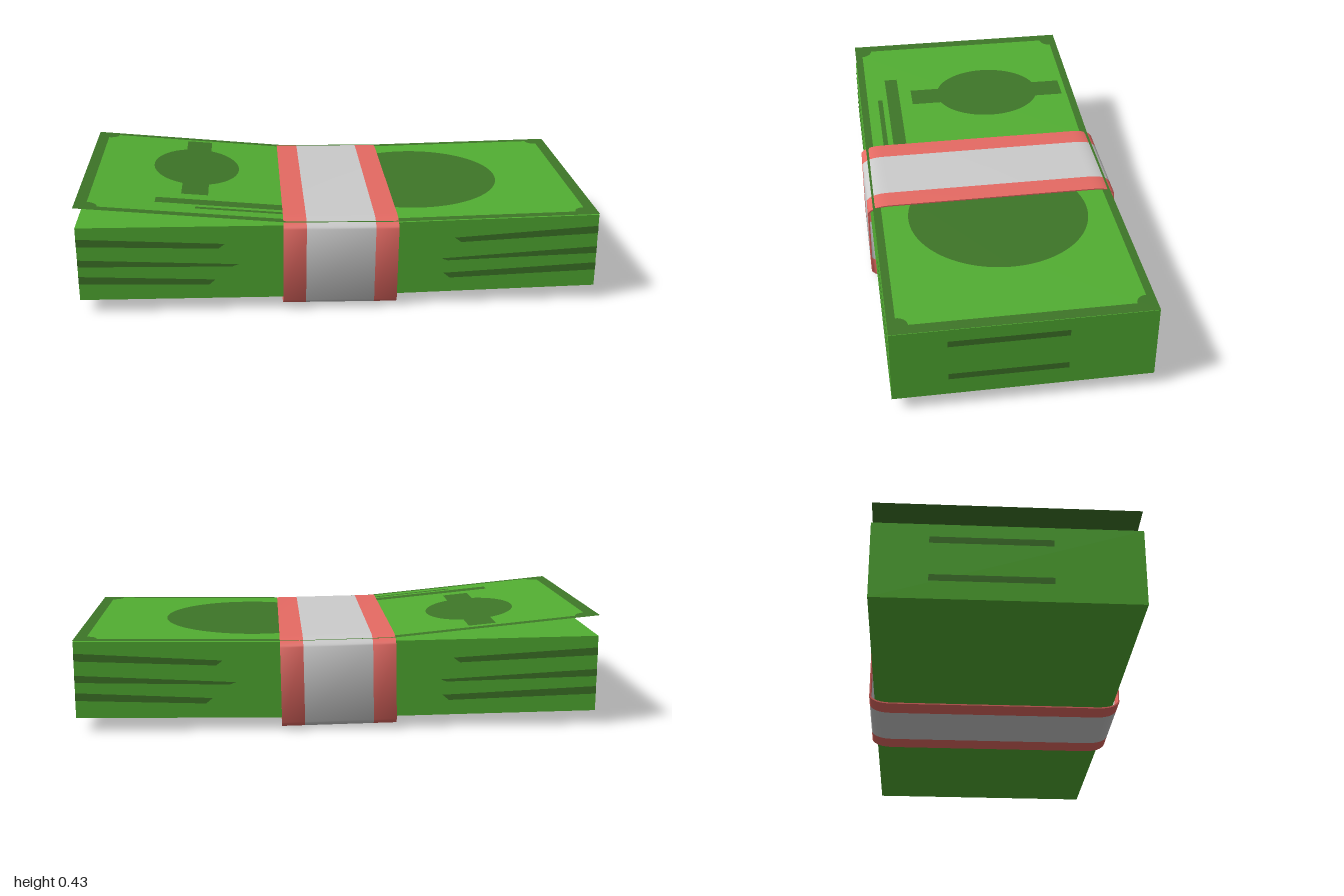
import * as THREE from 'three';
import { toCreasedNormals } from 'three/addons/utils/BufferGeometryUtils.js';

const material = (color, side = THREE.FrontSide) =>
  new THREE.MeshStandardMaterial({ color, side });

const GREEN = material(0x52ae32);
const DARK = material(0x3e7628);
const GREEN_SHEET = material(0x52ae32, THREE.DoubleSide);
const DARK_SHEET = material(0x3e7628, THREE.DoubleSide);
const RED = material(0xe66a63);
const GREY = material(0xcccccc);

const HALF_Z = 0.478;
const GRIP = 0.2; // half width of the part pressed flat by the band

function add(parent, name, geometry, mat) {
  const mesh = new THREE.Mesh(geometry, mat);
  mesh.name = name;
  parent.add(mesh);
  return mesh;
}

const polygon = (points) => new THREE.Shape(points.map(([x, y]) => new THREE.Vector2(x, y)));
const rect = (x0, x1, y0, y1) => polygon([[x0, y0], [x1, y0], [x1, y1], [x0, y1]]);

// Height of the top bill: its -x half curls up off the stack
function billHeight(x) {
  if (x < -GRIP) return 0.35 + (-GRIP - x) * 0.099;
  if (x < GRIP) return 0.346 - x * 0.02;
  return 0.342 + (x - GRIP) * 0.0125;
}

// Flat shape (x, -z) laid on the bill, raised by a number of thin layers
function onBill(shape, layer) {
  const geometry = new THREE.ShapeGeometry(shape, 32).rotateX(-Math.PI / 2);
  const p = geometry.attributes.position;
  for (let i = 0; i < p.count; i++) p.setY(i, billHeight(p.getX(i)) + layer * 0.0015);
  geometry.computeVertexNormals();
  return geometry;
}

// Inner panel of one bill half, with scooped outer corners
function panelShape(side) {
  const edge = 0.955, z = 0.447, r = 0.042;
  const points = [[side * GRIP, -z]];
  for (const end of [-1, 1]) {
    for (let i = 0; i <= 6; i++) {
      const a = (i / 6) * Math.PI / 2;
      const [s, c] = end < 0 ? [Math.sin(a), Math.cos(a)] : [Math.cos(a), Math.sin(a)];
      points.push([side * (edge - r * c), end * (z - r * s)]);
    }
  }
  points.push([side * GRIP, z]);
  return polygon(points);
}

function createStack() {
  const group = new THREE.Group();
  group.name = 'billStack';

  // Block of bills, slightly pinched at the middle
  const profile = polygon([
    [-0.998, 0.055], [-GRIP, 0.044], [GRIP, 0.044], [0.998, 0.055],
    [0.998, 0.35], [GRIP, 0.34], [-GRIP, 0.34], [-0.998, 0.35],
  ]);
  const block = new THREE.ExtrudeGeometry(profile, { depth: 2 * HALF_Z, bevelEnabled: false });
  add(group, 'stackBlock', block.translate(0, 0, -HALF_Z), GREEN);

  // Tapering paper lines: outer bottom, outer top, tip bottom, tip top, tip x left, tip x right
  const lines = [
    [0.275, 0.305, 0.253, 0.272, 0.44, 0.44],
    [0.192, 0.22, 0.178, 0.187, 0.39, 0.39],
    [0.122, 0.152, 0.105, 0.126, 0.48, 0.4],
  ];
  for (const turn of [0, Math.PI]) {
    const face = new THREE.Group();
    face.name = turn ? 'backPaperLines' : 'frontPaperLines';
    face.rotation.y = turn;
    for (const [b0, t0, b1, t1, left, right] of lines) {
      for (const [side, tip] of [[-1, left], [1, right]]) {
        const shape = polygon([
          [side * 0.998, b0], [side * (tip + 0.025), b1], [side * tip, t1], [side * 0.998, t0],
        ]);
        add(face, 'paperLine', new THREE.ShapeGeometry(shape), DARK).position.z = HALF_Z + 0.002;
      }
    }
    group.add(face);
  }

  // Two straight lines on each short end
  for (const side of [-1, 1]) {
    for (const y of [0.137, 0.287]) {
      const line = add(group, 'endPaperLine', new THREE.PlaneGeometry(0.435, 0.025), DARK);
      line.position.set(side * 0.9995, y, side * 0.057);
      line.rotation.y = side * Math.PI / 2;
    }
  }
  return group;
}

function createTopBill() {
  const group = new THREE.Group();
  group.name = 'topBill';

  // Sheet in three planar sections
  for (const [x0, x1] of [[-1, -GRIP], [-GRIP, GRIP], [GRIP, 1]])
    add(group, 'billSheet', onBill(rect(x0, x1, -HALF_Z, HALF_Z), 1), DARK_SHEET);
  for (const side of [-1, 1])
    add(group, 'billPanel', onBill(panelShape(side), 2), GREEN_SHEET);

  // Portrait disc, cut off where it passes under the band
  const disc = new THREE.Shape();
  const cut = Math.acos((GRIP - 0.33) / 0.352);
  disc.absarc(0.33, 0.005, 0.352, -cut, cut, false);
  add(group, 'portraitDisc', onBill(disc, 3), DARK_SHEET);

  // Plain oval ornament with a tab above and below
  const ornament = new THREE.Shape();
  ornament.absellipse(-0.56, 0.09, 0.175, 0.225, 0, Math.PI * 2);
  add(group, 'ornamentOval', onBill(ornament, 3), DARK_SHEET);
  add(group, 'ornamentTab', onBill(rect(-0.61, -0.505, 0.3, 0.425), 3), DARK_SHEET);
  add(group, 'ornamentTab', onBill(rect(-0.61, -0.505, -0.25, -0.12), 3), DARK_SHEET);

  // Printed bars
  add(group, 'wideBar', onBill(rect(-0.705, -GRIP, -0.36, -0.305), 3), DARK_SHEET);
  add(group, 'narrowBar', onBill(rect(-0.55, -GRIP, -0.402, -0.382), 3), DARK_SHEET);
  return group;
}

// Closed loop with soft corners, centred on the origin
function loop(path, w, h, rx, ry) {
  path.moveTo(-w + rx, -h);
  path.lineTo(w - rx, -h);
  path.quadraticCurveTo(w - rx * 0.2, -h, w, -h + ry);
  path.lineTo(w, h - ry);
  path.quadraticCurveTo(w - rx * 0.2, h, w - rx, h);
  path.lineTo(-w + rx, h);
  path.quadraticCurveTo(-w + rx * 0.2, h, -w, h - ry);
  path.lineTo(-w, -h + ry);
  path.quadraticCurveTo(-w + rx * 0.2, -h, -w + rx, -h);
  return path;
}

function createBand() {
  const group = new THREE.Group();
  group.name = 'paperBand';
  const ring = loop(new THREE.Shape(), 0.498, 0.176, 0.09, 0.03);
  ring.holes.push(loop(new THREE.Path(), 0.493, 0.171, 0.087, 0.028));
  for (const [name, x0, x1, mat] of [
    ['bandEdge', -0.22, -0.132, RED],
    ['bandCentre', -0.132, 0.132, GREY],
    ['bandEdge', 0.132, 0.22, RED],
  ]) {
    const geometry = new THREE.ExtrudeGeometry(ring, { depth: x1 - x0, bevelEnabled: false, curveSegments: 8 });
    geometry.rotateY(Math.PI / 2).translate(x0, 0, 0);
    add(group, name, toCreasedNormals(geometry, 0.7), mat);
  }
  group.position.y = 0.18;
  group.rotation.z = -0.018;
  return group;
}

export function createModel() {
  const model = new THREE.Group();
  model.name = 'banknoteBundle';
  model.add(createStack(), createTopBill(), createBand());
  return model;
}
